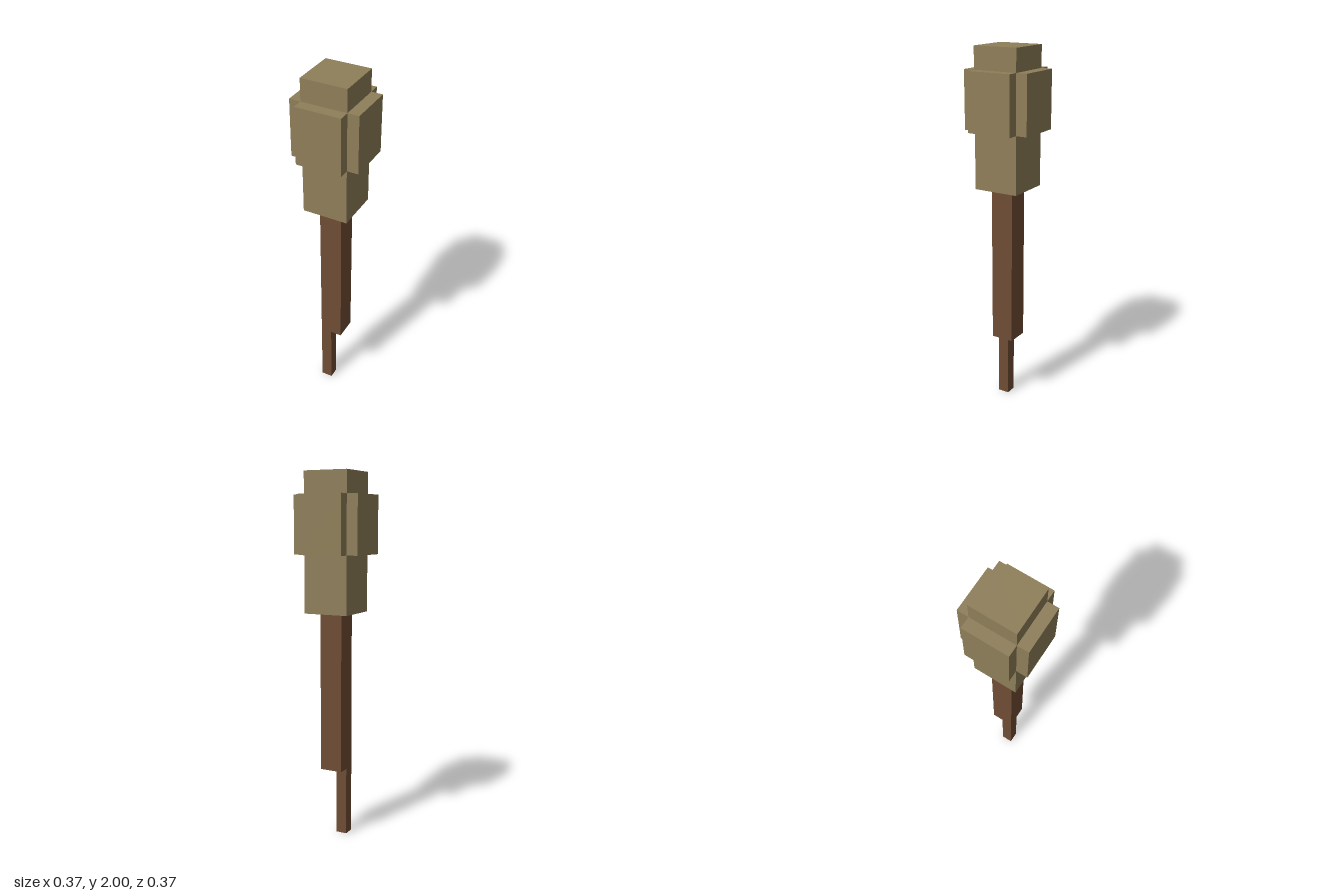
import * as THREE from 'three';

export function createModel() {
  const model = new THREE.Group();
  model.name = 'mace';
  const tan = new THREE.MeshStandardMaterial({ color: 0x8f7f5a });
  tan.name = 'tan';
  const brown = new THREE.MeshStandardMaterial({ color: 0x6f4d34 });
  brown.name = 'brown';

  // Box given by its minimum and maximum corners
  const block = (name, material, [x0, y0, z0], [x1, y1, z1]) => {
    const mesh = new THREE.Mesh(new THREE.BoxGeometry(x1 - x0, y1 - y0, z1 - z0), material);
    mesh.position.set((x0 + x1) / 2, (y0 + y1) / 2, (z0 + z1) / 2);
    mesh.name = name;
    return mesh;
  };

  // Shaft, with the thin spike under its front right corner
  model.add(block('spike', brown, [-0.063, 0, 0], [0, 0.38, 0.063]));
  model.add(block('shaft', brown, [-0.063, 0.38, -0.063], [0.063, 1.255, 0.063]));

  // Head core
  model.add(block('headCore', tan, [-0.125, 1.255, -0.125], [0.125, 2, 0.125]));

  // One raised pad on each side of the head
  ['frontPad', 'leftPad', 'backPad', 'rightPad'].forEach((name, i) => {
    const side = new THREE.Group();
    side.name = name;
    side.add(block('pad', tan, [-0.125, 1.567, 0.125], [0.125, 1.88, 0.187]));
    side.rotation.y = (i * Math.PI) / 2;
    model.add(side);
  });

  return model;
}
